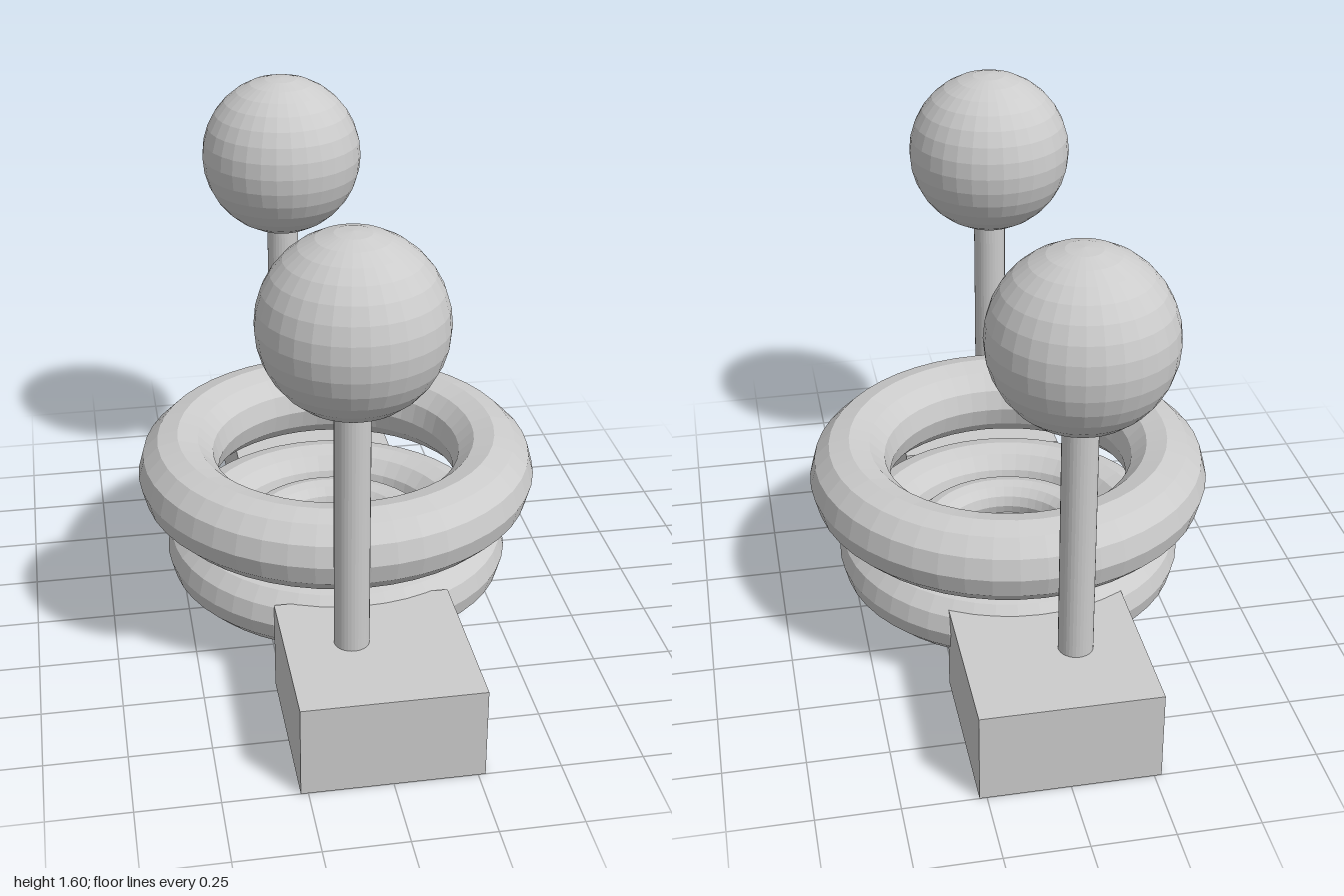
import * as THREE from 'three';

const material = new THREE.MeshStandardMaterial({ color: 0xcccccc, flatShading: true });

export function createModel() {
  const model = new THREE.Group();

  function add(parent, name, geometry, x, y, z) {
    const mesh = new THREE.Mesh(geometry, material);
    mesh.name = name;
    mesh.position.set(x, y, z);
    parent.add(mesh);
    return mesh;
  }

  // Front and back stands: block, post and ball
  const stands = [
    { name: 'frontStand', inner: 0.46, outer: 1, post: 0.685 },
    { name: 'backStand', inner: -0.455, outer: -1, post: -0.722 },
  ];
  for (const { name, inner, outer, post } of stands) {
    const stand = new THREE.Group();
    stand.name = name;
    const depth = Math.abs(outer - inner);
    add(stand, 'block', new THREE.BoxGeometry(0.544, 0.29, depth), 0, 0.145, (inner + outer) / 2);
    add(stand, 'post', new THREE.CylinderGeometry(0.053, 0.053, 0.85, 32), -0.07, 0.705, post);
    add(stand, 'ball', new THREE.SphereGeometry(0.27, 32, 16), -0.07, 1.325, post);
    model.add(stand);
  }

  // Horizontal rings: name, ring radius, tube radius, height
  const centreZ = -0.019;
  const rings = [
    ['upperRing', 0.512, 0.13, 0.5],
    ['lowerRing', 0.447, 0.11, 0.22],
    ['innerRing', 0.27, 0.067, 0.22],
  ];
  for (const [name, radius, tube, y] of rings) {
    const geometry = new THREE.TorusGeometry(radius, tube, 12, 48).rotateX(-Math.PI / 2);
    add(model, name, geometry, 0, y, centreZ);
  }

  // Cone closing the inner ring, tip down
  const cone = new THREE.ConeGeometry(0.23, 0.095, 32).rotateX(Math.PI);
  add(model, 'centreCone', cone, 0, 0.1425, centreZ);

  return model;
}
